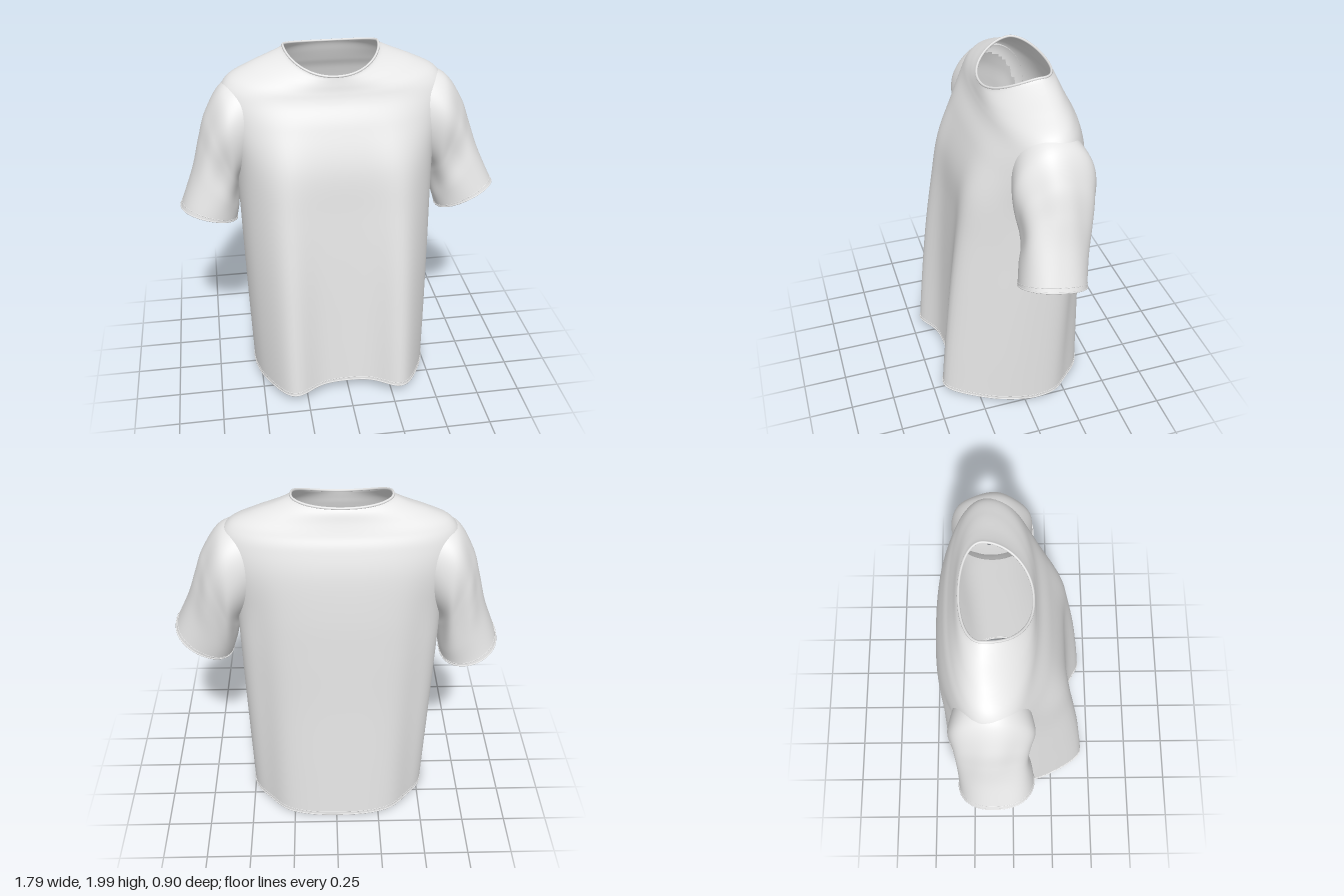
import * as THREE from 'three';

const AROUND = 96;

// Smoothly interpolate rows of numbers along u in 0..1
function sampleRows(rows, u) {
  const f = u * (rows.length - 1);
  const i = Math.min(Math.floor(f), rows.length - 2);
  const t = f - i;
  const at = (k) => rows[Math.max(0, Math.min(rows.length - 1, k))];
  return rows[i].map((b, k) => {
    const a = at(i - 1)[k], c = at(i + 1)[k], d = at(i + 2)[k];
    return b + 0.5 * t * (c - a + t * (2 * a - 5 * b + 4 * c - d + t * (3 * (b - c) + d - a)));
  });
}

const spow = (v, e) => Math.sign(v) * Math.pow(Math.abs(v), e);
const bump = (x, centre, width) => Math.exp(-(((Math.abs(x) - centre) / width) ** 2));

// Torso levels from hem to neck:
// half width, front z, back z, side z, front y, side y, back y, squareness, fold depth
const torsoRows = [
  [0.52, 0.36, -0.447, -0.05, 0.085, 0.012, 0.008, 2.5, 0.14],
  [0.53, 0.342, -0.435, -0.06, 0.4, 0.36, 0.36, 2.5, 0.125],
  [0.54, 0.318, -0.42, -0.08, 0.8, 0.78, 0.78, 2.5, 0.1],
  [0.547, 0.292, -0.413, -0.1, 1.15, 1.14, 1.14, 2.5, 0.07],
  [0.555, 0.268, -0.405, -0.1, 1.42, 1.4, 1.4, 2.5, 0.04],
  [0.6, 0.2, -0.383, -0.11, 1.63, 1.61, 1.63, 2.4, 0.01],
  [0.615, 0.143, -0.345, -0.11, 1.745, 1.75, 1.77, 2.3, 0],
  [0.57, 0.123, -0.312, -0.12, 1.8, 1.836, 1.838, 2.2, 0],
  [0.46, 0.114, -0.287, -0.13, 1.838, 1.895, 1.895, 2.1, 0],
  [0.345, 0.108, -0.272, -0.14, 1.863, 1.942, 1.935, 2.1, 0],
  [0.28, 0.105, -0.263, -0.14, 1.876, 1.972, 1.953, 2.1, 0],
  [0.256, 0.103, -0.254, -0.14, 1.886, 1.988, 1.965, 2.15, 0],
];

function torsoPoint(u, v) {
  const [w, zF, zB, zS, yF, yS, yB, n, fold] = sampleRows(torsoRows, u);
  const t = v * Math.PI * 2, s = Math.sin(t), c = Math.cos(t);
  const x = w * spow(s, 2 / n);
  const front = c > 0;
  let z = zS + (front ? zF - zS : zS - zB) * spow(c, 2 / n);
  // Hanging folds: two ridges in front, two shallow hollows behind
  const shape = front ? bump(x, 0.33, 0.14) : 0.28 * bump(x, 0.43, 0.08);
  z += fold * Math.min(1, Math.abs(c) * 2.5) * shape;
  const y = yS + ((front ? yF : yB) - yS) * Math.pow(Math.abs(c), 0.8 + 0.7 * u);
  return new THREE.Vector3(x - 0.014 - 0.018 * u, y, z);
}

// Sleeve levels from armhole to cuff: top x, top y, bottom x, bottom y, front z, back z, tilt
const sleeveRows = [
  [0.46, 1.855, 0.46, 1.37, 0.08, -0.29, 0],
  [0.61, 1.8, 0.535, 1.28, 0.112, -0.325, 0],
  [0.705, 1.655, 0.545, 1.2, 0.095, -0.3, 0.01],
  [0.755, 1.515, 0.555, 1.13, 0.09, -0.275, 0.02],
  [0.807, 1.36, 0.565, 1.07, 0.11, -0.25, 0.03],
  [0.892, 1.165, 0.58, 1.01, 0.13, -0.225, 0.035],
];

function sleevePoint(side, u, v) {
  const [tx, ty, bx, by, zF, zB, tilt] = sampleRows(sleeveRows, u);
  const t = v * Math.PI * 2;
  const crease = 1 + 0.03 * Math.sin(Math.PI * u) ** 2 * Math.sin(6 * t + 3 * u);
  const c = Math.cos(t) * crease, s = spow(Math.sin(t), 1 - 0.18 * u) * crease;
  const droop = side < 0 ? u * u : 0;
  return new THREE.Vector3(
    side * ((tx + bx) / 2 + (c * (tx - bx)) / 2) - 0.022 + 0.017 * u,
    (ty + by) / 2 + (c * (ty - by)) / 2 + tilt * s - droop * 0.03 * (1 + c),
    (zF + zB) / 2 + (s * (zF - zB)) / 2 - droop * (0.045 - 0.025 * s)
  );
}

// Closed-ring surface from a point rule; faces can be left out
function loft(pointAt, rings, flip, skip) {
  const pos = [], index = [], pts = [];
  for (let i = 0; i <= rings; i++) {
    for (let j = 0; j < AROUND; j++) {
      const p = pointAt(i / rings, j / AROUND);
      pts.push(p);
      pos.push(p.x, p.y, p.z);
    }
  }
  for (let i = 0; i < rings; i++) {
    for (let j = 0; j < AROUND; j++) {
      const k = (j + 1) % AROUND;
      const a = i * AROUND + j, b = i * AROUND + k, c = b + AROUND, d = a + AROUND;
      if (skip && skip(pts[a].clone().add(pts[c]).multiplyScalar(0.5))) continue;
      if (flip) index.push(a, d, b, b, d, c);
      else index.push(a, b, d, b, c, d);
    }
  }
  const g = new THREE.BufferGeometry();
  g.setAttribute('position', new THREE.Float32BufferAttribute(pos, 3));
  g.setIndex(index);
  g.computeVertexNormals();
  return g;
}

// Thin piping that follows one ring of a surface
function piping(pointAt, u, radius) {
  const pts = [];
  for (let j = 0; j < 64; j++) pts.push(pointAt(u, j / 64));
  return new THREE.TubeGeometry(new THREE.CatmullRomCurve3(pts, true), 128, radius, 6, true);
}

export function createModel() {
  const shirt = new THREE.Group();
  shirt.name = 'tShirt';
  const fabric = new THREE.MeshStandardMaterial({ color: 0xe8e8e8, side: THREE.DoubleSide });
  fabric.name = 'light grey fabric';
  const add = (name, geometry) => {
    const mesh = new THREE.Mesh(geometry, fabric);
    mesh.name = name;
    shirt.add(mesh);
  };

  // Body with open armholes
  const armhole = (p) =>
    Math.abs(p.x) > 0.45 && ((p.z + 0.11) / 0.15) ** 2 + ((p.y - 1.56) / 0.18) ** 2 < 1;
  add('torso', loft(torsoPoint, 88, false, armhole));
  add('bottomHem', piping(torsoPoint, 0, 0.004));
  add('bottomHemSeam', piping(torsoPoint, 0.009, 0.002));
  add('neckband', piping(torsoPoint, 1, 0.007));

  // Sleeves
  for (const side of [1, -1]) {
    const name = side > 0 ? 'left' : 'right';
    const rule = (u, v) => sleevePoint(side, u, v);
    add(name + 'Sleeve', loft(rule, 40, side < 0));
    add(name + 'Cuff', piping(rule, 1, 0.004));
    add(name + 'CuffSeam', piping(rule, 0.965, 0.002));
  }
  return shirt;
}
